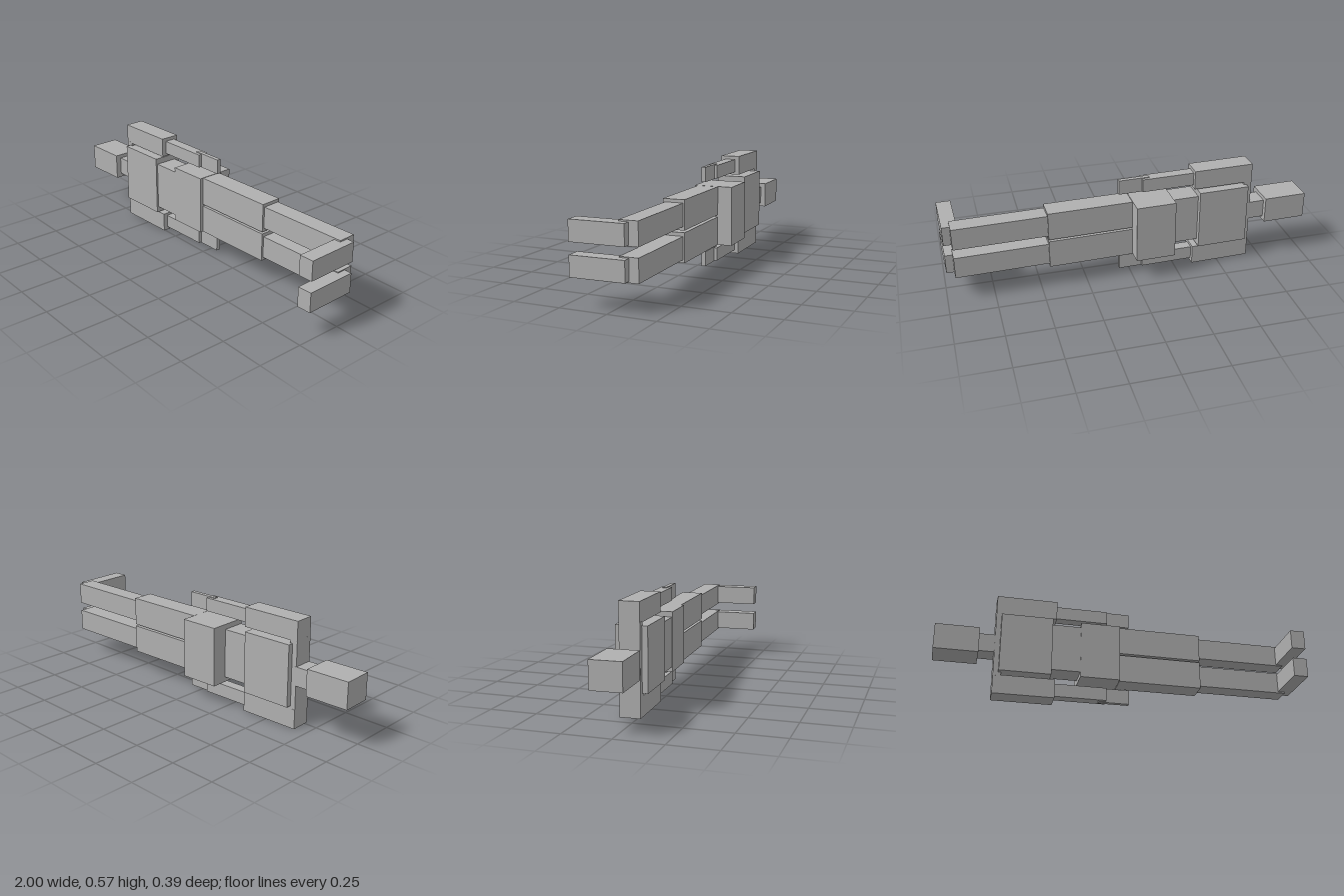
import * as THREE from 'three';

// Blocky figure lying on its side: head towards -x, face and toes towards +z.
const MID_Y = 0.285; // height of the body's centre line
const YAW = 0.03;    // the whole body is turned slightly

export function createModel() {
  const model = new THREE.Group();
  model.name = 'lyingFigure';
  const grey = new THREE.MeshStandardMaterial({ color: 0xb0b0b0 });
  grey.name = 'plain grey';

  // One box: centre (x, height off the centre line, z) and size
  function block(name, [x, dy, z], size) {
    const mesh = new THREE.Mesh(new THREE.BoxGeometry(...size), grey);
    mesh.name = name;
    mesh.position.set(x, MID_Y + dy, z);
    mesh.rotation.y = YAW;
    model.add(mesh);
  }

  // Head and trunk
  block('head', [-0.88, 0, -0.031], [0.235, 0.142, 0.162]);
  block('neck', [-0.715, 0, -0.037], [0.1, 0.1, 0.104]);
  block('shoulderBar', [-0.658, 0, -0.037], [0.042, 0.37, 0.106]);
  block('chest', [-0.513, 0, -0.041], [0.277, 0.33, 0.164]);
  block('abdomen', [-0.285, 0, -0.038], [0.19, 0.265, 0.125]);
  block('pelvis', [-0.112, 0, -0.085], [0.215, 0.32, 0.213]);

  // Limbs, mirrored about the centre line
  for (const [side, s] of [['left', 1], ['right', -1]]) {
    block(side + 'UpperArm', [-0.515, s * 0.232, -0.042], [0.328, 0.105, 0.106]);
    block(side + 'Forearm', [-0.21, s * 0.23, -0.0515], [0.285, 0.072, 0.058]);
    block(side + 'Hand', [-0.024, s * 0.23, -0.058], [0.168, 0.08, 0.023]);
    block(side + 'Thigh', [0.226, s * 0.0825, -0.065], [0.455, 0.154, 0.116]);
    block(side + 'Shin', [0.7, s * 0.0835, -0.081], [0.497, 0.118, 0.097]);
    block(side + 'Foot', [0.9545, s * 0.0825, 0.0525], [0.078, 0.105, 0.283]);
  }
  return model;
}
